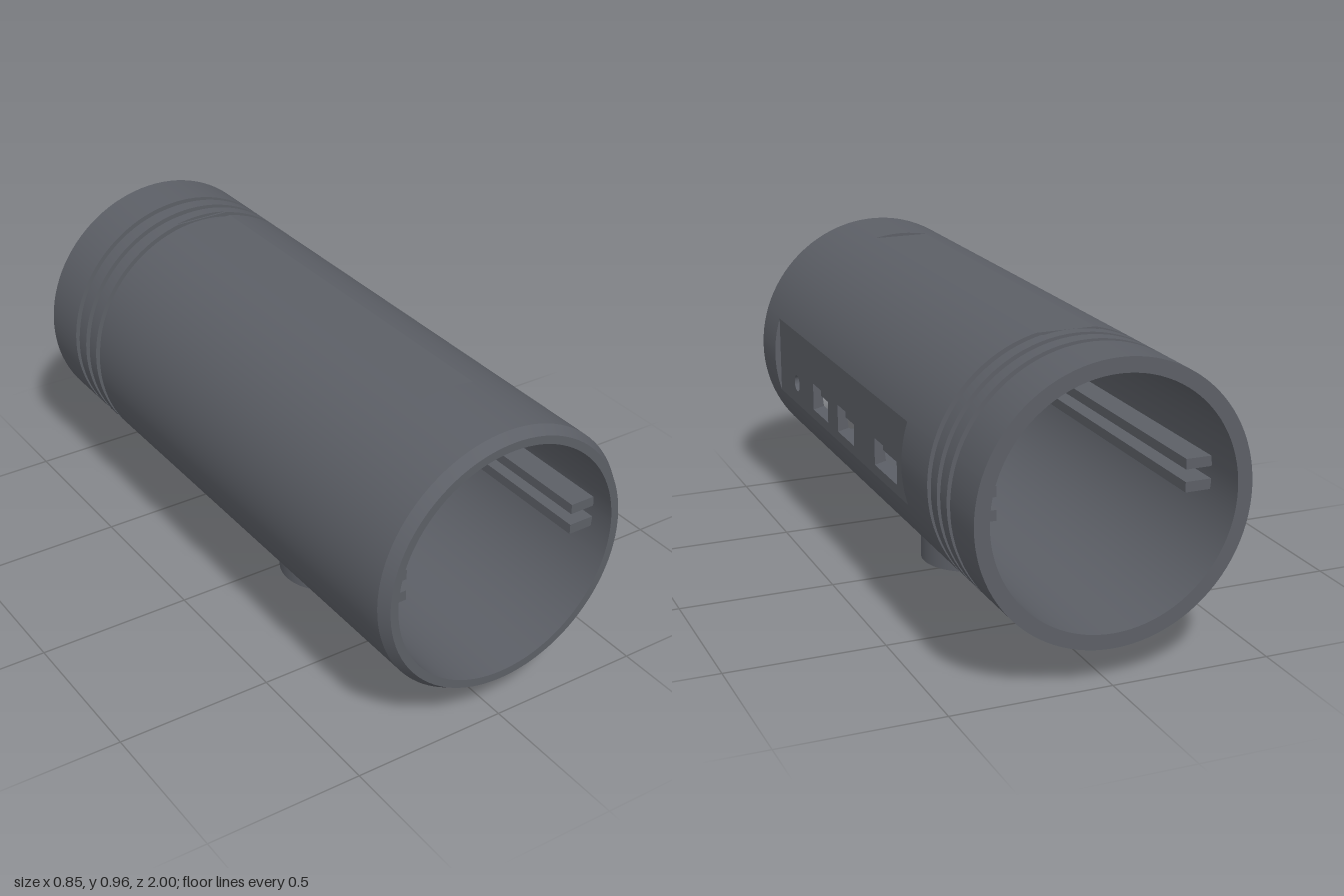
import * as THREE from 'three';
import { toCreasedNormals } from 'three/addons/utils/BufferGeometryUtils.js';

const CY = 0.54, R = 0.425, RI = 0.379;        // tube axis height, outer and inner radius
const SIDE = 0.405, TOP = 0.415;               // distance of the flats from the axis
const SIDE_Z = [0.82, -0.447], TOP_Z = [0.688, -0.69];
const GROOVES = [[-0.83, -0.804], [-0.756, -0.73], [-0.684, -0.656]];
const WIN = [-0.12, 0.015];                    // port panel, relative to the axis height

// Radius of the outer skin at one angle just beside z
function outerRadius(t, z) {
  let r = R;
  if (GROOVES.some(([a, b]) => z > a && z < b)) r = 0.41;
  if (z > 0.965) r = 0.405 + (R - 0.405) * (1 - z) / 0.035;
  if (z < SIDE_Z[0] && z > SIDE_Z[1] && Math.cos(t) > 0) r = Math.min(r, SIDE / Math.cos(t));
  if (z < TOP_Z[0] && z > TOP_Z[1] && Math.sin(t) > 0) r = Math.min(r, TOP / Math.sin(t));
  return r;
}

// Hollow tube with grooves, flats and front chamfer, swept ring by ring
function tubeGeometry() {
  const win = WIN.map(d => Math.atan2(d, SIDE));
  const s = Math.acos(SIDE / R), t = Math.acos(TOP / R), h = Math.PI / 2;
  const angles = [win[0], win[1], -s, s, h - t, h + t];
  const fixed = angles.slice();
  for (let i = 0; i < 96; i++) {
    const a = -Math.PI + (i * Math.PI * 2) / 96;
    if (fixed.every(f => Math.abs(f - a) > 0.012)) angles.push(a);
  }
  angles.sort((a, b) => a - b);
  angles.push(angles[0] + Math.PI * 2);

  // Two rings at every step, sampled just behind and just ahead of it
  const steps = [...GROOVES.flat(), ...SIDE_Z, ...TOP_Z, 0.965].sort((a, b) => a - b);
  const e = 1e-5;
  const rings = [{ z: -1, at: -1 }];
  steps.forEach(z => rings.push({ z, at: z - e }, { z, at: z + e }));
  rings.push({ z: 1, at: 1 });
  [1, ...SIDE_Z, -1].forEach(z => rings.push({ z, inner: true }));
  rings.push(rings[0]);

  const point = (a, g) => {
    const r = g.inner ? RI : outerRadius(a, g.at);
    return new THREE.Vector3(r * Math.cos(a), CY + r * Math.sin(a), g.z);
  };
  const out = [];
  const tri = (a, b, c) => {
    const area = b.clone().sub(a).cross(c.clone().sub(a)).length();
    if (area > 1e-7) [a, b, c].forEach(p => out.push(p.x, p.y, p.z));
  };
  for (let k = 0; k < rings.length - 1; k++) {
    const g = rings[k], n = rings[k + 1], mid = (g.z + n.z) / 2;
    for (let i = 0; i < angles.length - 1; i++) {
      const a = angles[i], b = angles[i + 1], m = (a + b) / 2;
      // leave the opening for the port panel
      if (g.z !== n.z && m > win[0] && m < win[1] && mid < SIDE_Z[0] && mid > SIDE_Z[1]) continue;
      const p = point(a, g), q = point(b, g), u = point(b, n), v = point(a, n);
      tri(p, q, u);
      tri(p, u, v);
    }
  }
  const geo = new THREE.BufferGeometry();
  geo.setAttribute('position', new THREE.Float32BufferAttribute(out, 3));
  return toCreasedNormals(geo, 0.14);
}

// Rectangle path in the panel plane (z runs to the left)
function rect(path, z0, z1, y0, y1) {
  path.moveTo(-z0, y0);
  path.lineTo(-z1, y0);
  path.lineTo(-z1, y1);
  path.lineTo(-z0, y1);
  path.closePath();
  return path;
}

// Wall panel with three ports and a round hole
function portPanelGeometry() {
  const shape = rect(new THREE.Shape(), ...SIDE_Z, ...WIN);
  [[0.453, 0.298, -0.006], [0.197, 0.037, -0.006], [-0.157, -0.353, -0.01]].forEach(([a, b, top]) =>
    shape.holes.push(rect(new THREE.Path(), a, b, -0.097, top)));
  const hole = new THREE.Path();
  hole.absarc(-0.634, -0.055, 0.028, 0, Math.PI * 2, true);
  shape.holes.push(hole);
  const geo = new THREE.ExtrudeGeometry(shape, { depth: 0.03, bevelEnabled: false, curveSegments: 16 });
  geo.rotateY(Math.PI / 2);
  // outer face lies on the flat, inner face follows the bore
  const pos = geo.attributes.position;
  for (let i = 0; i < pos.count; i++) {
    const y = pos.getY(i);
    if (pos.getX(i) > 0.015) pos.setX(i, SIDE);
    else {
      const k = RI / Math.hypot(SIDE, y);
      pos.setX(i, SIDE * k);
      pos.setY(i, y * k);
    }
  }
  geo.translate(0, CY, 0);
  return toCreasedNormals(geo, 0.5);
}

export function createModel() {
  const model = new THREE.Group();
  model.name = 'tubeHousing';
  const grey = new THREE.MeshStandardMaterial({ color: 0x5c5f66 });
  grey.name = 'darkGrey';
  const add = (name, geo, x = 0, y = 0, z = 0) => {
    const mesh = new THREE.Mesh(geo, grey);
    mesh.name = name;
    mesh.position.set(x, y, z);
    model.add(mesh);
  };

  add('tube', tubeGeometry());
  add('portPanel', portPanelGeometry());
  add('mountingPost', new THREE.CylinderGeometry(0.157, 0.157, 0.15, 64), 0, 0.075, 0.078);

  // Pairs of rails holding a board on each side of the bore
  const rail = new THREE.BoxGeometry(0.083, 0.032, 1.77);
  for (const side of [1, -1]) {
    const name = side > 0 ? 'left' : 'right';
    add(name + 'LowerRail', rail, side * 0.3365, 0.504, 0.035);
    add(name + 'UpperRail', rail, side * 0.3365, 0.574, 0.035);
  }
  return model;
}
